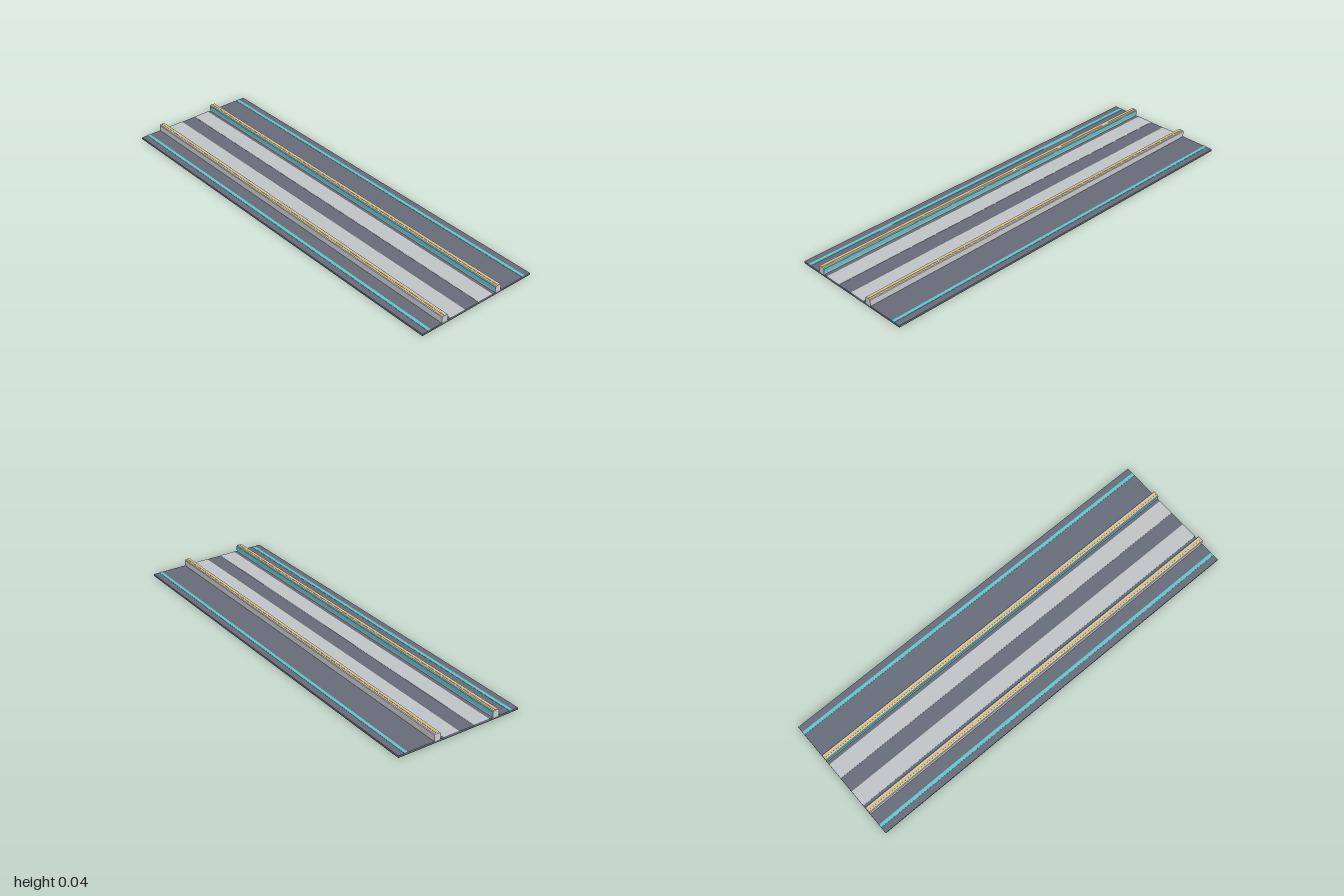
import * as THREE from 'three';

const LENGTH = 2;
const paint = (color) => new THREE.MeshStandardMaterial({ color });
const deckMat = paint(0x666c78);
const laneMat = paint(0xc0c4c6);
const wallMat = paint(0xcccccc);
const cyanMat = paint(0x62c4cc);
const yellowMat = paint(0xe0b84a);

// Full-length bar spanning the given heights and depths
function bar(name, y0, y1, z0, z1, mat) {
  const mesh = new THREE.Mesh(new THREE.BoxGeometry(LENGTH, y1 - y0, z1 - z0), mat);
  mesh.position.set(0, (y0 + y1) / 2, (z0 + z1) / 2);
  mesh.name = name;
  return mesh;
}

// Low wall with bevelled top edges, a cyan inner strip and a yellow cap line
function guideWall(name, z, inward) {
  const group = new THREE.Group();
  group.name = name;
  const w = 0.0155, top = 0.0415, base = 0.008, bevel = 0.003;
  const shape = new THREE.Shape([
    [-w, base], [w, base], [w, top - bevel], [w - bevel, top], [bevel - w, top], [-w, top - bevel],
  ].map(([x, y]) => new THREE.Vector2(x, y)));
  const geo = new THREE.ExtrudeGeometry(shape, { depth: LENGTH, bevelEnabled: false });
  geo.translate(0, 0, -LENGTH / 2).rotateY(-Math.PI / 2);
  const body = new THREE.Mesh(geo, wallMat);
  body.name = 'wallBody';
  const inner = inward * w;
  const outer = inward * (w + 0.0015);
  group.add(
    body,
    bar('innerStrip', 0.016, 0.037, Math.min(inner, outer), Math.max(inner, outer), cyanMat),
    bar('capLine', top - 0.001, 0.0428, -0.004, 0.004, yellowMat),
  );
  group.position.z = z;
  return group;
}

export function createModel() {
  const model = new THREE.Group();
  model.name = 'trackSegment';

  // Deck slab with a dark underside
  model.add(bar('underside', 0, 0.0025, -0.315, 0.315, paint(0x3a3f46)));
  model.add(bar('deck', 0.0025, 0.009, -0.315, 0.315, deckMat));

  // Pale running lanes
  model.add(bar('rearLane', 0.008, 0.0102, -0.087, -0.004, laneMat));
  model.add(bar('frontLane', 0.008, 0.0102, 0.074, 0.157, laneMat));

  // Cyan edge lines
  for (const side of [-1, 1]) {
    const z = side * 0.276;
    model.add(bar('edgeLine', 0.008, 0.0102, z - 0.008, z + 0.008, cyanMat));
  }

  // Guide walls
  model.add(guideWall('frontWall', 0.1915, -1));
  model.add(guideWall('rearWall', -0.1185, 1));
  return model;
}
